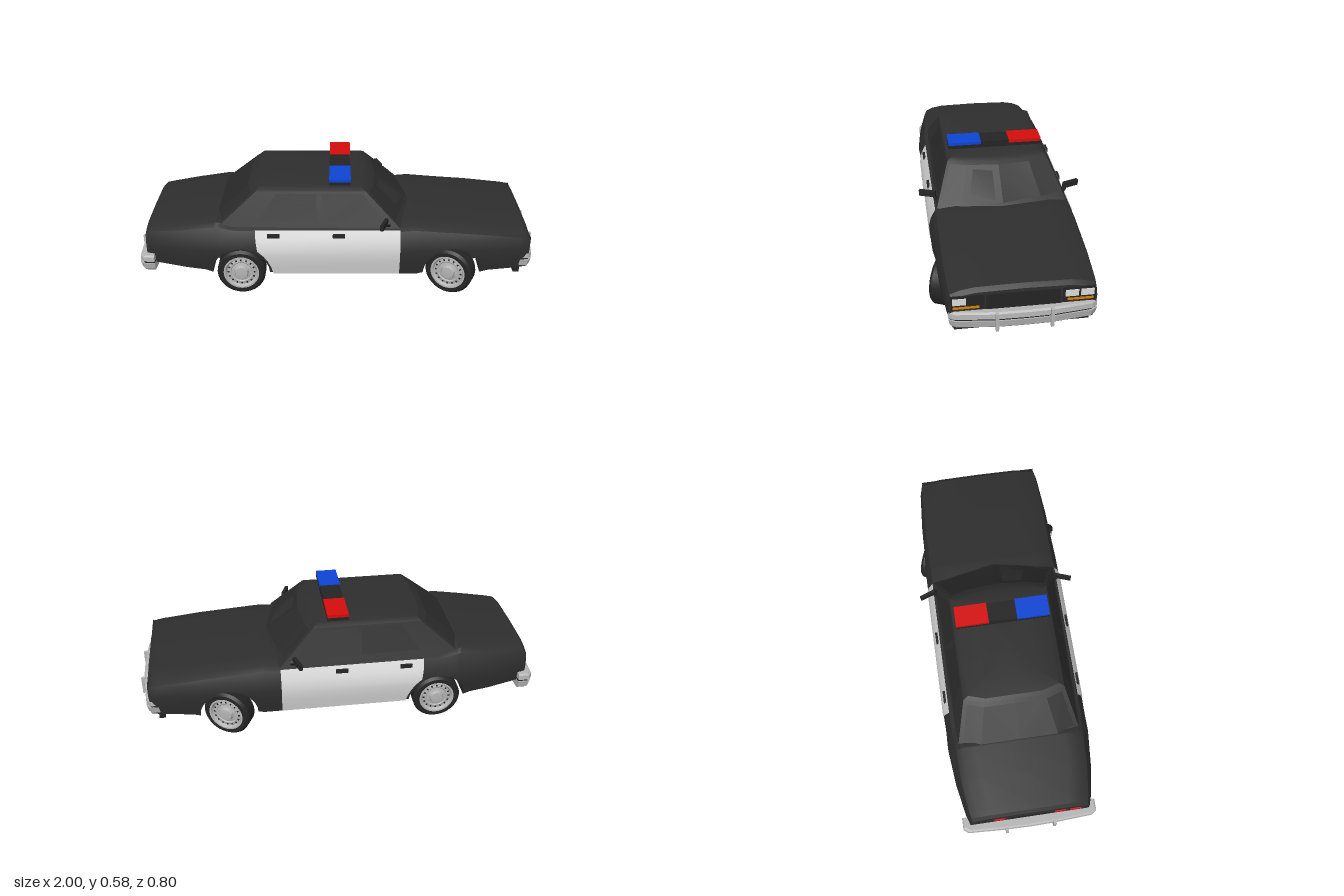
import * as THREE from 'three';
import { toCreasedNormals } from 'three/addons/utils/BufferGeometryUtils.js';

const mat = (name, color, side = THREE.FrontSide) => {
  const m = new THREE.MeshStandardMaterial({ color, side });
  m.name = name;
  return m;
};

// piecewise-linear lookup in a table of [key, value]
function interp(table, x) {
  if (x <= table[0][0]) return table[0][1];
  for (let i = 1; i < table.length; i++) {
    const [x0, a] = table[i - 1], [x1, b] = table[i];
    if (x <= x1) return a + (b - a) * (x - x0) / (x1 - x0);
  }
  return table[table.length - 1][1];
}

// closed loops of [x, y, z] joined in order and capped at both ends
function loft(rings, crease = 0.45) {
  const n = rings[0].length, pos = rings.flat(2), idx = [];
  for (let i = 0; i < rings.length - 1; i++) for (let j = 0; j < n; j++) {
    const a = i * n + j, b = i * n + (j + 1) % n;
    idx.push(a, b, a + n, b, b + n, a + n);
  }
  [0, rings.length - 1].forEach((r, end) => {
    const c = pos.length / 3;
    for (let k = 0; k < 3; k++) pos.push(rings[r].reduce((s, p) => s + p[k], 0) / n);
    for (let j = 0; j < n; j++) {
      const a = r * n + j, b = r * n + (j + 1) % n;
      if (end) idx.push(c, a, b); else idx.push(c, b, a);
    }
  });
  const g = new THREE.BufferGeometry();
  g.setAttribute('position', new THREE.Float32BufferAttribute(pos, 3));
  g.setIndex(idx);
  return toCreasedNormals(g, crease);
}

// open grid of points, rows by columns
function sheet(rows) {
  const n = rows[0].length, idx = [];
  for (let i = 0; i < rows.length - 1; i++) for (let j = 0; j < n - 1; j++) {
    const a = i * n + j;
    idx.push(a, a + n, a + 1, a + 1, a + n, a + n + 1);
  }
  const g = new THREE.BufferGeometry();
  g.setAttribute('position', new THREE.Float32BufferAttribute(rows.flat(2), 3));
  g.setIndex(idx);
  return toCreasedNormals(g, 0.3);
}

// body side half-width by height, and tables along the length
const SIDE = [[0.11, 0.335], [0.2, 0.355], [0.25, 0.358], [0.3, 0.347], [0.36, 0.318], [0.39, 0.3]];
const TOP = [[-0.945, 0.335], [-0.93, 0.35], [-0.59, 0.39], [-0.5, 0.375], [0.3, 0.37], [0.38, 0.377], [0.7, 0.355], [0.93, 0.333], [0.95, 0.318]];
const WIDTH = [[-0.945, 0.83], [-0.9, 0.87], [-0.75, 0.95], [-0.57, 1], [0.4, 1], [0.7, 0.97], [0.9, 0.93], [0.95, 0.9]];
const FLOOR = [[-0.945, 0.16], [-0.65, 0.13], [-0.6, 0.11], [0.7, 0.11], [0.75, 0.125], [0.95, 0.14]];
const AXLES = [-0.475, 0.57], ARCH = 0.142;

function bodySection(x) {
  const top = interp(TOP, x), w = interp(WIDTH, x), floor = interp(FLOOR, x);
  let sill = floor;
  for (const c of AXLES) if (Math.abs(x - c) < ARCH) sill = Math.max(sill, 0.118 + Math.sqrt(ARCH ** 2 - (x - c) ** 2));
  const half = [[top - 0.004, 0.23 * w], [top - 0.014, 0.295 * w]];
  for (const y of [top - 0.03, 0.3, 0.25, 0.2, sill]) {
    const yy = Math.max(y, sill);
    half.push([yy, interp(SIDE, yy) * w]);
  }
  half.push([sill, 0.19], [floor, 0.19]);
  return [[x, top, 0], ...half.map(([y, z]) => [x, y, z]), [x, floor, 0],
    ...half.slice().reverse().map(([y, z]) => [x, y, -z])];
}

// horizontal loop from the front centre: half outline of [x, z] mirrored
function planRing(y, half) {
  const back = half.slice(1, -1).map(([x, z]) => [x, y, z]);
  const f = half[0], r = half[half.length - 1];
  return [[r[0], y, 0], ...back.reverse(), [f[0], y, 0], ...half.slice(1, -1).map(([x, z]) => [x, y, -z])];
}

export function createModel() {
  const car = new THREE.Group();
  car.name = 'patrolCar';
  const black = mat('blackPaint', 0x2e2e2e), white = mat('whitePaint', 0xd8d8d8, THREE.DoubleSide);
  const glass = mat('darkGlass', 0x2a2a2a, THREE.DoubleSide), rubber = mat('rubberTrim', 0x242424);
  const chrome = mat('chrome', 0xb4b4b4), lens = mat('headlightLens', 0xdcdcdc);
  const amber = mat('amber', 0xd98200), red = mat('red', 0xd40d0d), blue = mat('blue', 0x0d45d4);

  const add = (name, geo, m, parent = car) => {
    const mesh = new THREE.Mesh(geo, m);
    mesh.name = name;
    parent.add(mesh);
    return mesh;
  };
  const box = (name, m, [w, h, d], [x, y, z], parent = car) => {
    const b = add(name, new THREE.BoxGeometry(w, h, d), m, parent);
    b.position.set(x, y, z);
    return b;
  };

  // main body with open wheel arches
  const xs = [...TOP, ...WIDTH, ...FLOOR].map(p => p[0]);
  for (const c of AXLES) for (let k = 0; k <= 14; k++) xs.push(c - ARCH * Math.cos(k * Math.PI / 14));
  const stations = [...new Set(xs.map(x => +x.toFixed(3)))].sort((a, b) => a - b);
  add('body', loft(stations.map(bodySection)), black);

  // cabin: front centre, front corner, rear corner, rear centre at each height
  const cabin = [
    [0.355, [0.39, 0], [0.345, 0.2], [0.31, 0.318], [-0.585, 0.305], [-0.625, 0.2], [-0.63, 0]],
    [0.522, [0.175, 0], [0.165, 0.15], [0.14, 0.247], [-0.395, 0.247], [-0.425, 0.15], [-0.425, 0]],
    [0.536, [0.145, 0], [0.135, 0.14], [0.12, 0.222], [-0.38, 0.222], [-0.405, 0.14], [-0.405, 0]],
    [0.542, [0.08, 0], [0.08, 0.08], [0.06, 0.13], [-0.3, 0.13], [-0.33, 0.08], [-0.33, 0]],
  ];
  add('cabin', loft(cabin.map(([y, ...half]) => planRing(y, half))), black);

  // glass: each pane lies between two corners, just proud of the cabin
  const corner = (k, v) => {
    const [lo, hi] = cabin;
    return new THREE.Vector3(lo[k][0], lo[0], lo[k][1]).lerp(new THREE.Vector3(hi[k][0], hi[0], hi[k][1]), v);
  };
  const pane = (k, u0, u1, out, s) => sheet([0.18, 0.93].map(v => [u0, u1].map(u => {
    const p = corner(k, v).lerp(corner(k + 1, v), u);
    return [p.x + out[0], p.y + 0.002, s * (p.z + out[1])];
  })));
  for (const s of [1, -1]) {
    add('windshield', pane(1, 0, 1, [0.002, 0], s), glass);
    add('windshieldEdge', pane(2, 0, 0.85, [0.002, 0.001], s), glass);
    add('frontWindow', pane(3, 0.05, 0.41, [0, 0.002], s), glass);
    add('rearWindow', pane(3, 0.45, 0.8, [0, 0.002], s), glass);
    add('backWindow', pane(5, 0, 1, [-0.002, 0], s), glass);
    add('backWindowEdge', pane(4, 0.2, 1, [-0.002, 0], s), glass);

    // white doors, cut around the rear wheel arch
    const rows = [[0.35, -0.4], [0.3, -0.397], [0.25, -0.39], [0.22, -0.36], [0.19, -0.34], [0.15, -0.325], [0.112, -0.315]];
    add('doors', sheet(rows.map(([y, x]) => [x, 0.31].map(px => [px, y, s * (interp(SIDE, y) + 0.004)]))), white);
    for (const x of [-0.31, 0.01]) box('doorHandle', rubber, [0.06, 0.018, 0.012], [x, 0.325, s * 0.341]);

    // door mirror and its foot
    box('mirror', rubber, [0.016, 0.03, 0.082], [0.228, 0.398, s * 0.357]).rotation.y = -s * 0.35;
    box('mirrorFoot', rubber, [0.03, 0.035, 0.012], [0.245, 0.375, s * 0.316]).rotation.x = s * 0.6;

    // indicators and light bar feet
    box('indicator', amber, [0.008, 0.011, 0.115], [0.951, 0.243, s * 0.248]);
    box('lampPanel', rubber, [0.005, 0.07, 0.145], [0.95, 0.268, s * 0.242]);
    box('lightBarFoot', rubber, [0.06, 0.022, 0.04], [0.015, 0.543, s * 0.16]);
    box('lightBarLamp', s > 0 ? blue : red, [0.105, 0.016, 0.163], [0.015, 0.573, s * 0.152]);
  }
  box('lightBarBase', rubber, [0.105, 0.018, 0.466], [0.015, 0.557, 0]);
  box('lightBarCentre', rubber, [0.1, 0.015, 0.142], [0.015, 0.572, 0]);

  // nose and tail details
  box('grille', rubber, [0.008, 0.076, 0.32], [0.95, 0.264, 0]);
  for (const z of [0.278, -0.278, -0.21]) box('headlight', lens, [0.009, 0.032, 0.058], [0.952, 0.275, z]);
  for (const z of [0.15, 0.225, -0.15]) box('tailLight', red, [0.008, 0.028, 0.055], [-0.946, 0.265, z]);
  box('tailPanel', rubber, [0.006, 0.06, 0.2], [-0.945, 0.265, 0]);
  box('frontValance', rubber, [0.03, 0.04, 0.6], [0.9, 0.12, 0]);

  // bumpers: a bowed bar that wraps the corners, with a rubber strip and guards
  function bumper(name, y, w, bow) {
    const g = new THREE.Group();
    g.name = name;
    car.add(g);
    const ring = (dy, d) => planRing(y + dy, [[0.99 - d, 0], [0.988 - d, 0.12], [0.988 - bow - d, w - 0.025 - d], [0.97 - bow - d, w - d],
      [0.905, w - d], [0.9, 0.2], [0.9, 0]]);
    add('lowerBar', loft([ring(0, 0.016), ring(0.01, 0.006), ring(0.044, 0)]), chrome, g);
    add('rubberStrip', loft([ring(0.044, 0.006), ring(0.054, 0.006)]), rubber, g);
    add('upperBar', loft([ring(0.054, 0), ring(0.078, 0.002), ring(0.085, 0.01)]), chrome, g);
    for (const z of [0.12, -0.12]) box('guard', chrome, [0.02, 0.09, 0.014], [0.99, y + 0.042, z], g);
    return g;
  }
  bumper('frontBumper', 0.14, 0.325, 0.02);
  bumper('rearBumper', 0.122, 0.335, 0.01).rotation.y = Math.PI;

  // exhaust pipe
  const pipe = add('exhaust', new THREE.CylinderGeometry(0.016, 0.019, 0.2, 14), chrome);
  pipe.position.set(-0.84, 0.107, -0.2);
  pipe.rotation.z = -Math.PI / 2 + 0.12 + Math.PI;

  // wheels: turned tyre, dished rim and a ring of vent slots
  const turned = pts => toCreasedNormals(new THREE.LatheGeometry(pts.map(p => new THREE.Vector2(...p)), 32).rotateX(Math.PI / 2), 0.5);
  const tyre = turned([[0, -0.035], [0.085, -0.045], [0.108, -0.045], [0.12, -0.032], [0.12, 0.032], [0.108, 0.045], [0.085, 0.045], [0.083, 0.02]]);
  const rim = turned([[0.09, 0.04], [0.088, 0.047], [0.08, 0.047], [0.072, 0.032], [0.055, 0.036], [0.05, 0.032], [0.036, 0.036], [0.03, 0.05], [0, 0.053]]);
  for (const x of AXLES) for (const s of [1, -1]) {
    const wheel = new THREE.Group();
    wheel.name = x > 0 ? 'frontWheel' : 'rearWheel';
    wheel.position.set(x, 0.12, s * 0.302);
    wheel.rotation.y = (s > 0 ? 0 : Math.PI) - (x > 0 ? 0.44 : 0);
    add('tyre', tyre, rubber, wheel);
    add('rim', rim, chrome, wheel);
    for (let k = 0; k < 16; k++) {
      const a = k * Math.PI / 8;
      box('ventSlot', rubber, [0.009, 0.007, 0.006], [0.065 * Math.cos(a), 0.065 * Math.sin(a), 0.033], wheel).rotation.z = a;
    }
    car.add(wheel);
  }
  return car;
}
